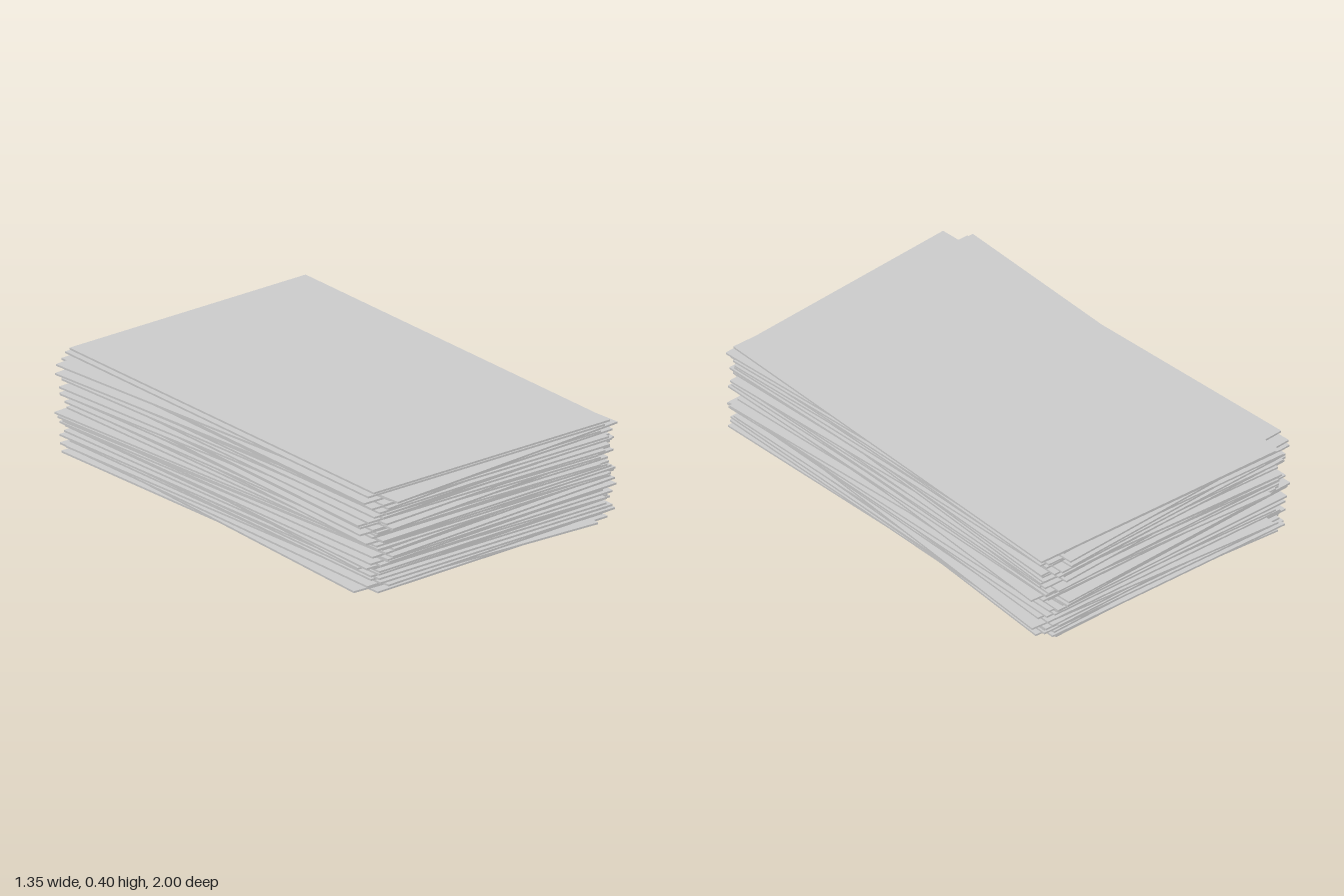
import * as THREE from 'three';

const COUNT = 50;
const THICK = 0.4 / COUNT;
const WIDTH = 1.17;
const LENGTH = 1.87;

// Small seeded generator giving values in -1..1
function seeded(seed) {
  let s = seed;
  return () => {
    s = (s * 16807) % 2147483647;
    return (s / 2147483647) * 2 - 1;
  };
}

// Sheets that stick out furthest, by layer: [x, z, yaw]
const placed = {
  0: [-0.017, 0.01, 0.005],
  1: [-0.027, 0.01, -0.073],
  10: [0.024, -0.027, -0.073],
  47: [-0.008, 0.035, 0.055],
  49: [0.035, -0.02, -0.028],
};

export function createModel() {
  const stack = new THREE.Group();
  stack.name = 'paperStack';
  const material = new THREE.MeshStandardMaterial({ color: 0xcccccc, flatShading: true });
  const sheetGeometry = new THREE.BoxGeometry(WIDTH, THICK, LENGTH);
  const rand = seeded(4711);
  rand();

  // Loose sheets, each turned and shifted a little
  for (let i = 0; i < COUNT; i++) {
    const jitter = [rand() * 0.02, rand() * 0.02, rand() * 0.06];
    const [x, z, yaw] = placed[i] ?? jitter;
    const sheet = new THREE.Mesh(sheetGeometry, material);
    sheet.name = `sheet${i + 1}`;
    sheet.position.set(x, (i + 0.5) * THICK, z);
    sheet.rotation.y = yaw;
    stack.add(sheet);
  }
  return stack;
}
